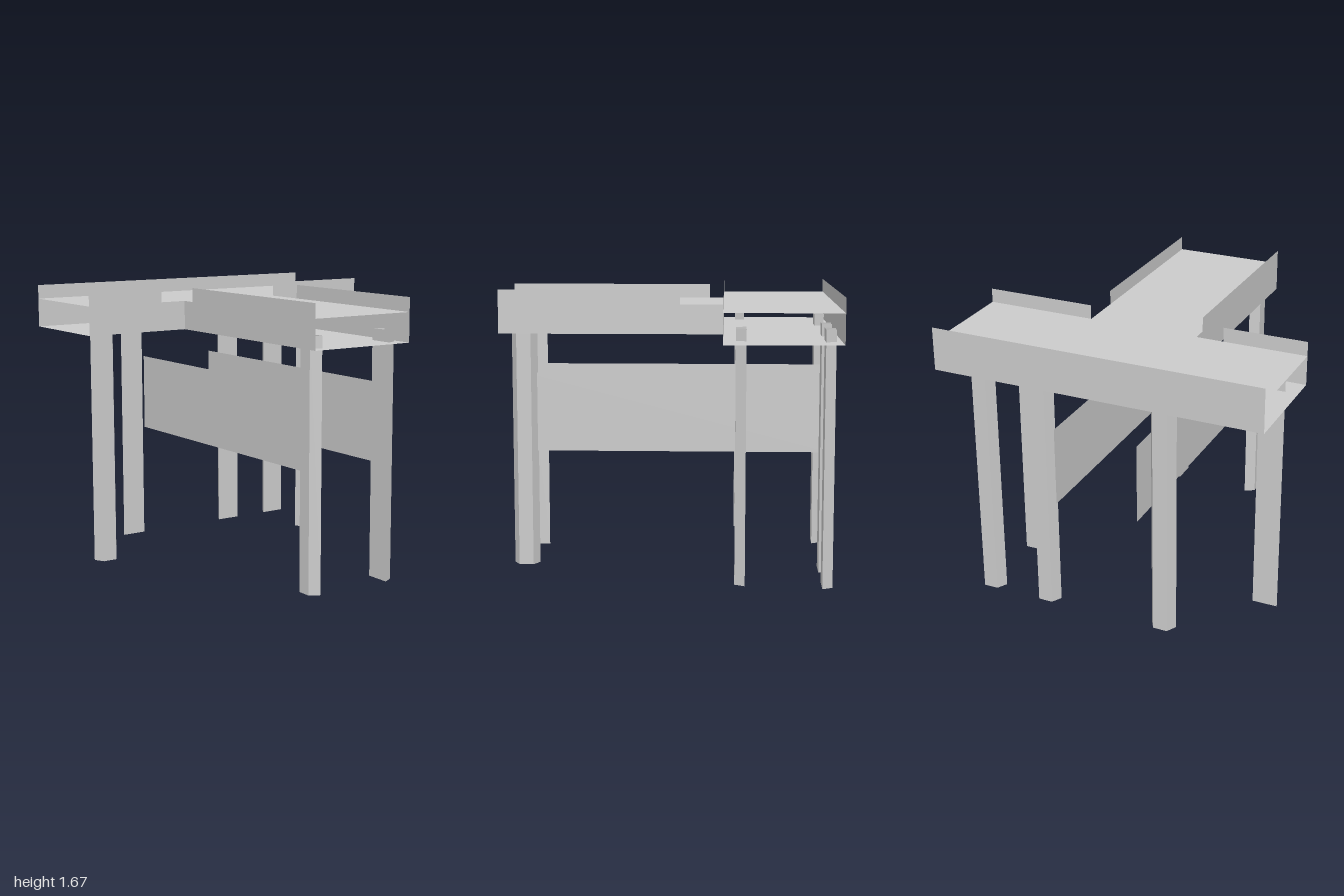
import * as THREE from 'three';

const BASE = 1.41, DECK = 1.585, RIM = 1.67, LEG_TOP = 1.48;
const BAR = -0.335; // front edge of the crossbar
const STEM = 0.335; // half width of the stem

const material = new THREE.MeshStandardMaterial({
  color: 0xcccccc, flatShading: true, side: THREE.DoubleSide,
});

// Upright sheet between two plan points [x, z]
function sheet(name, [x0, z0], [x1, z1], y0, y1) {
  const dx = x1 - x0, dz = z1 - z0;
  const mesh = new THREE.Mesh(new THREE.PlaneGeometry(Math.hypot(dx, dz), y1 - y0), material);
  mesh.name = name;
  mesh.rotation.y = -Math.atan2(dz, dx);
  mesh.position.set((x0 + x1) / 2, (y0 + y1) / 2, (z0 + z1) / 2);
  return mesh;
}

// Horizontal T-shaped sheet
function teeSheet(name, y) {
  const outline = [[-1, -1], [1, -1], [1, BAR], [STEM, BAR], [STEM, 1], [-STEM, 1], [-STEM, BAR], [-1, BAR]];
  const shape = new THREE.Shape(outline.map(([x, z]) => new THREE.Vector2(x, z)));
  const mesh = new THREE.Mesh(new THREE.ShapeGeometry(shape).rotateX(Math.PI / 2), material);
  mesh.name = name;
  mesh.position.y = y;
  return mesh;
}

// Hollow trapezoid post; its narrow face points along +z before turning
function leg(name, x, z, turn) {
  const group = new THREE.Group();
  group.name = name;
  const section = [[-0.077, -0.03], [0.077, -0.03], [0.043, 0.03], [-0.043, 0.03]];
  section.forEach((p, i) => group.add(sheet('legSide', p, section[(i + 1) % 4], 0, LEG_TOP)));
  group.position.set(x, 0, z);
  group.rotation.y = turn;
  return group;
}

export function createModel() {
  const model = new THREE.Group();
  model.name = 'teeWalkway';

  // Walking deck and underside
  model.add(teeSheet('deck', DECK), teeSheet('underside', BASE));

  // Side walls, level with the deck at the inner corners
  model.add(
    sheet('backWall', [-1, -1], [1, -1], BASE, RIM),
    sheet('barWallLeft', [STEM, BAR], [1, BAR], BASE, RIM),
    sheet('barWallRight', [-1, BAR], [-0.5, BAR], BASE, RIM),
    sheet('barWallRightLow', [-0.5, BAR], [-STEM, BAR], BASE, DECK),
    sheet('stemWallLeft', [STEM, -0.08], [STEM, 1], BASE, RIM),
    sheet('stemWallLeftLow', [STEM, BAR], [STEM, -0.08], BASE, DECK),
    sheet('stemWallRight', [-STEM, -0.245], [-STEM, 1], BASE, RIM),
    sheet('stemWallRightLow', [-STEM, BAR], [-STEM, -0.245], BASE, DECK),
  );

  // Legs, narrow faces outward
  model.add(
    leg('stemLegLeft', 0.277, 0.855, Math.PI / 2),
    leg('stemLegRight', -0.265, 0.855, -Math.PI / 2),
    leg('barFrontLegLeft', 0.692, -0.437, 0),
    leg('barFrontLegRight', -0.848, -0.437, 0),
  );
  for (const x of [-0.388, 0.363, 0.738]) model.add(leg('barBackLeg', x, -0.938, Math.PI));

  // Long brace boards under the stem
  for (const s of [-1, 1]) {
    model.add(sheet('braceBoard', [s * 0.255, -0.98], [s * 0.255, 0.85], 0.695, 1.17));
  }
  return model;
}
